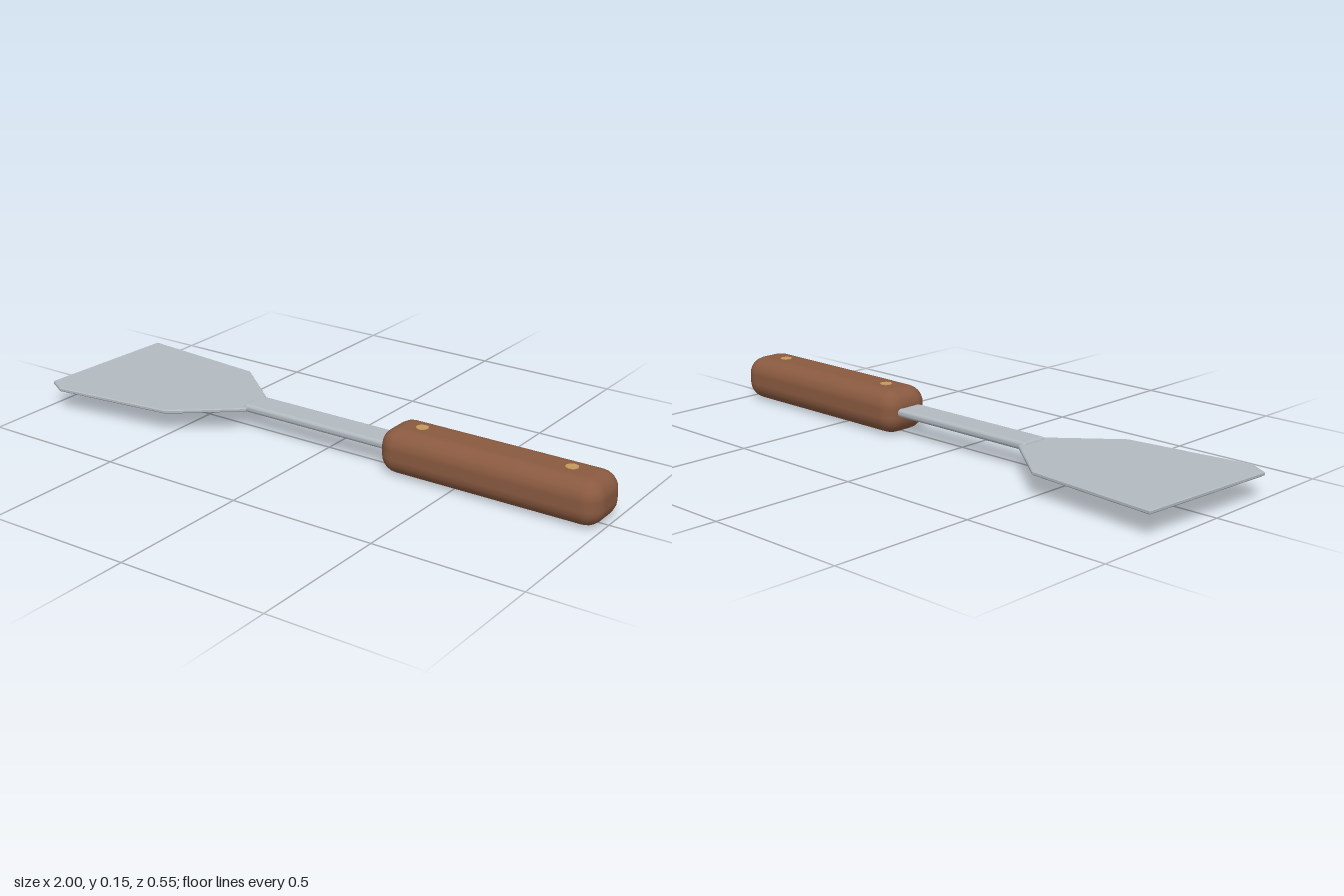
import * as THREE from 'three';
import { RoundedBoxGeometry } from 'three/addons/geometries/RoundedBoxGeometry.js';

const makeMaterial = (name, color) => {
  const m = new THREE.MeshStandardMaterial({ color });
  m.name = name;
  return m;
};

export function createModel() {
  const group = new THREE.Group();
  group.name = 'spatula';
  const steel = makeMaterial('steel', 0xb2bac0);
  const wood = makeMaterial('wood', 0x8a5a40);
  const brass = makeMaterial('brass', 0xc49a5c);

  const add = (name, geometry, material, x, y, z) => {
    const mesh = new THREE.Mesh(geometry, material);
    mesh.name = name;
    mesh.position.set(x, y, z);
    group.add(mesh);
  };

  // Flat blade with one clipped corner, outline given as x, z
  const outline = [
    [-0.97, -0.275], [-1, 0.235], [-0.935, 0.273], [-0.505, 0.222],
    [-0.3, 0.053], [-0.3, -0.063], [-0.505, -0.232],
  ];
  const shape = new THREE.Shape(outline.map(([x, z]) => new THREE.Vector2(x, -z)));
  const blade = new THREE.ExtrudeGeometry(shape, {
    depth: 0.007, bevelEnabled: true, bevelThickness: 0.003,
    bevelSize: 0.003, bevelOffset: -0.003, bevelSegments: 1,
  });
  blade.rotateX(-Math.PI / 2);
  add('blade', blade, steel, 0, 0.0735, 0);

  // Shank running from the blade into the handle
  add('shank', new RoundedBoxGeometry(0.62, 0.028, 0.102, 2, 0.012), steel, -0.01, 0.078, -0.006);

  // Rounded wooden handle
  add('handle', new RoundedBoxGeometry(0.764, 0.15, 0.184, 3, 0.06), wood, 0.618, 0.075, -0.003);

  // Rivets passing through the handle, showing above and below
  for (const x of [0.35, 0.868]) {
    add('rivet', new THREE.CylinderGeometry(0.021, 0.021, 0.1525, 8), brass, x, 0.0755, -0.006);
  }
  return group;
}
